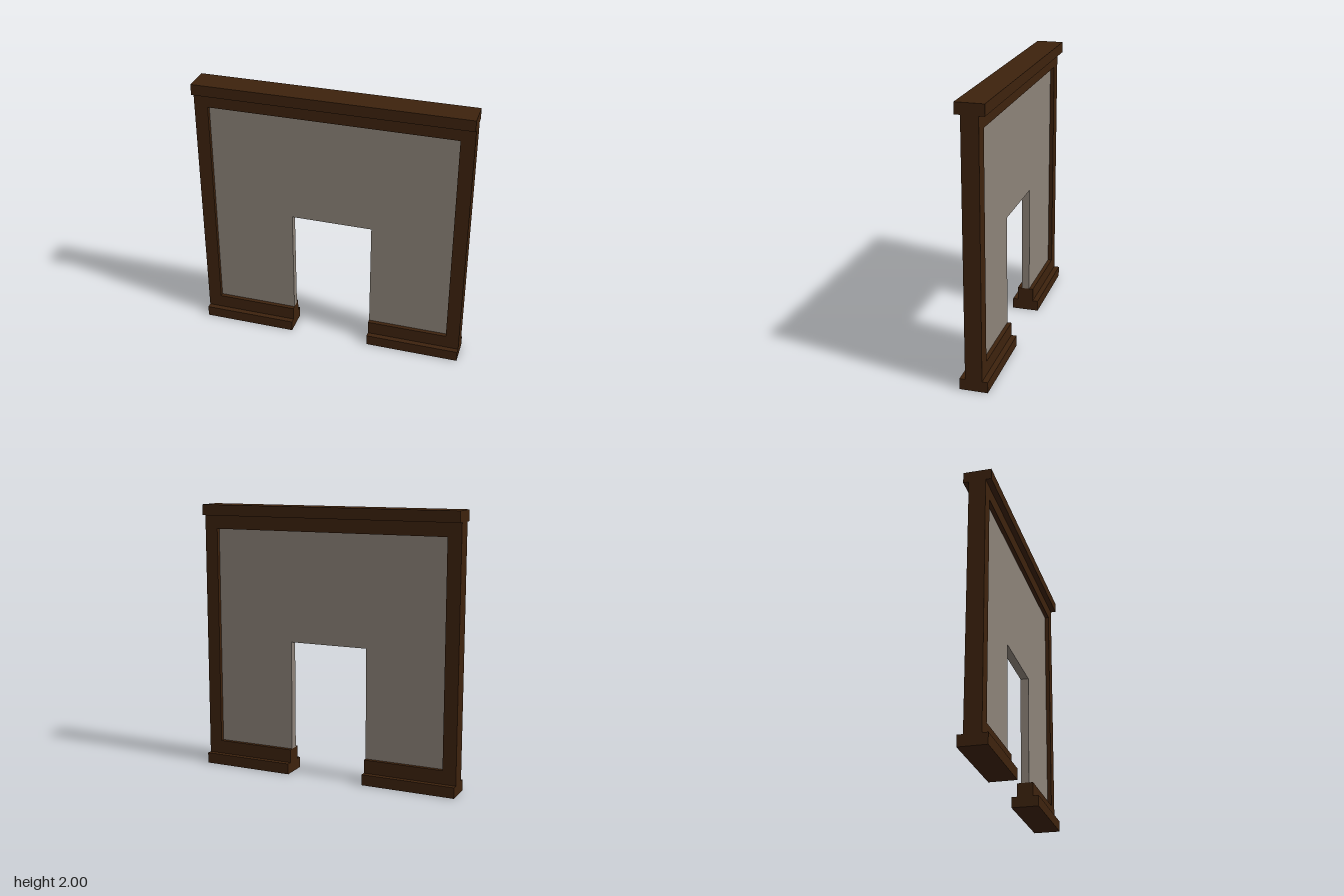
import * as THREE from 'three';

export function createModel() {
  const model = new THREE.Group();
  model.name = 'doorwayWall';
  const wood = new THREE.MeshStandardMaterial({ color: 0x3d220d });
  wood.name = 'dark wood';
  const plaster = new THREE.MeshStandardMaterial({ color: 0x8d8379 });
  plaster.name = 'grey plaster';

  // Wooden beam given by its x and y limits and its depth, centred on z = 0
  function beam(name, x0, x1, y0, y1, depth) {
    const mesh = new THREE.Mesh(new THREE.BoxGeometry(x1 - x0, y1 - y0, depth), wood);
    mesh.position.set((x0 + x1) / 2, (y0 + y1) / 2, 0);
    mesh.name = name;
    model.add(mesh);
  }

  // Plaster panel with the doorway cut out of its lower edge
  const outline = new THREE.Shape([
    [-0.9, 0.18], [-0.3, 0.18], [-0.3, 1], [0.3, 1],
    [0.3, 0.18], [0.9, 0.18], [0.9, 1.82], [-0.9, 1.82],
  ].map(([x, y]) => new THREE.Vector2(x, y)));
  const panelGeometry = new THREE.ExtrudeGeometry(outline, { depth: 0.06, bevelEnabled: false });
  panelGeometry.translate(0, 0, -0.03);
  const panel = new THREE.Mesh(panelGeometry, plaster);
  panel.name = 'plasterPanel';
  model.add(panel);

  // Top cap and the rail under it
  beam('topCap', -1, 1, 1.92, 2, 0.2);
  beam('topRail', -0.9, 0.9, 1.82, 1.92, 0.12);

  // Post, bottom rail and plinth on each side of the doorway
  for (const [side, s] of [['left', 1], ['right', -1]]) {
    const span = (a, b) => (s > 0 ? [a, b] : [-b, -a]);
    beam(side + 'Post', ...span(0.9, 1), 0.08, 1.92, 0.12);
    beam(side + 'BottomRail', ...span(0.3, 0.9), 0.08, 0.18, 0.12);
    beam(side + 'Plinth', ...span(0.3, 1), 0, 0.08, 0.2);
  }
  return model;
}
